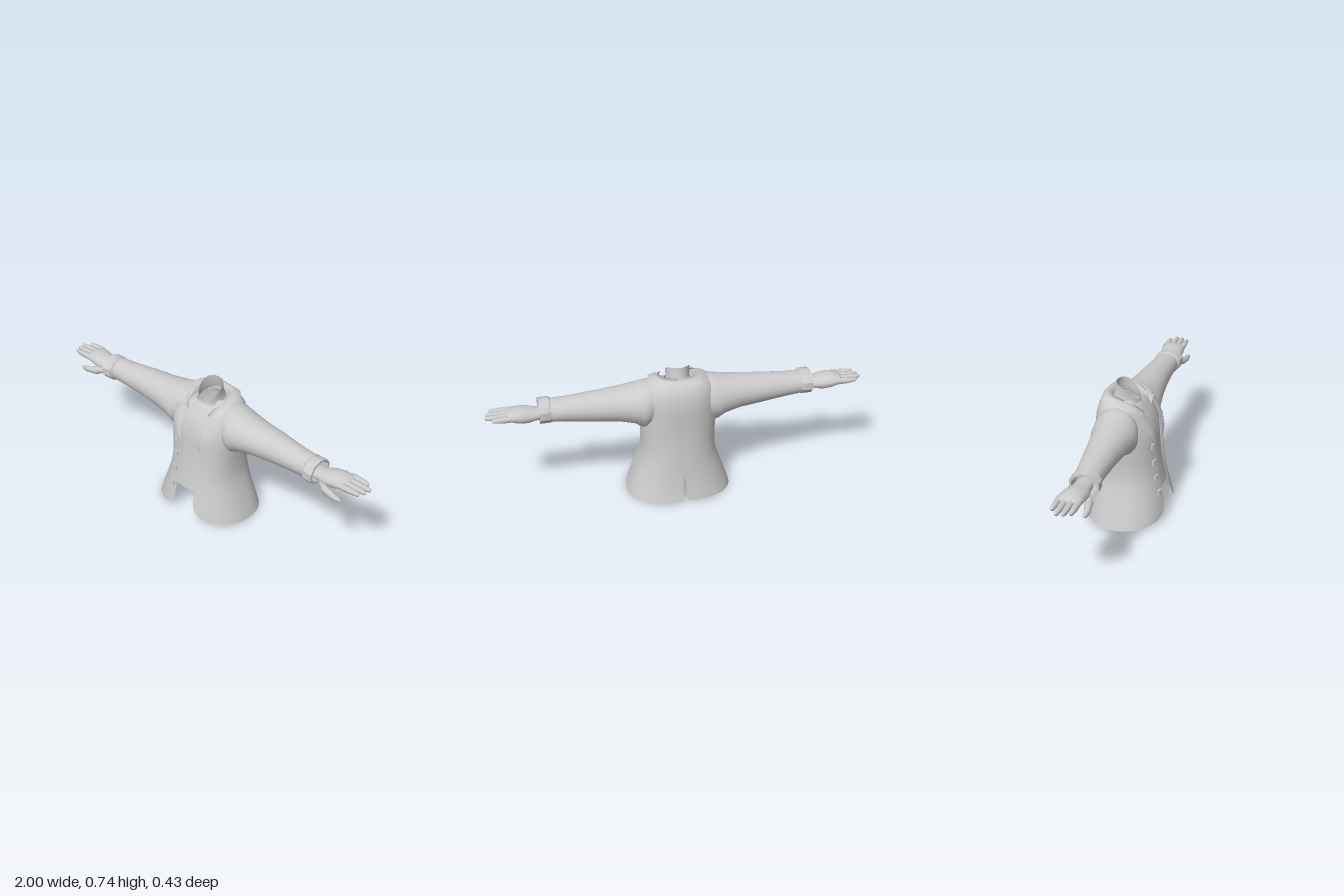
import * as THREE from 'three';
import { toCreasedNormals } from 'three/addons/utils/BufferGeometryUtils.js';

const mat = new THREE.MeshStandardMaterial({ color: 0xcccccc, side: THREE.DoubleSide });
const V = (x, y, z) => new THREE.Vector3(x, y, z);
const lerp = THREE.MathUtils.lerp;
const POW = 0.85; // squareness of the torso outline

// Skin a list of equally long point rows; closed wraps the columns.
function skin(rows, closed = false) {
  const n = rows[0].length, index = [];
  for (let r = 0; r < rows.length - 1; r++) {
    for (let c = 0; c < (closed ? n : n - 1); c++) {
      const a = r * n + c, b = r * n + (c + 1) % n;
      index.push(a, b, a + n, b, b + n, a + n);
    }
  }
  const g = new THREE.BufferGeometry().setFromPoints(rows.flat());
  g.setIndex(index);
  g.computeVertexNormals();
  // keep the centre line smooth across mirrored halves
  const p = g.attributes.position, nm = g.attributes.normal;
  for (let i = 0; i < p.count; i++) {
    if (Math.abs(p.getX(i)) > 1e-4) continue;
    const v = V(0, nm.getY(i), nm.getZ(i)).normalize();
    nm.setXYZ(i, v.x, v.y, v.z);
  }
  return g;
}

function part(name, geometry, parent) {
  const m = new THREE.Mesh(geometry, mat);
  m.name = name;
  parent.add(m);
  return m;
}

// Oval sections along x: [x, top, bottom, zFront, zBack]
function limb(keys, seg) {
  return skin(keys.map(([x, t, b, f, k]) => Array.from({ length: seg }, (_, i) => {
    const a = (i / seg) * Math.PI * 2;
    return V(x, (t + b) / 2 + Math.cos(a) * (t - b) / 2, (f + k) / 2 + Math.sin(a) * (f - k) / 2);
  })), true);
}

// Torso sections: [y, halfWidth, zFront, zBack, front opening, back vent]
const torso = [
  [0.00, 0.28, 0.220, -0.218, 0.14, 0.018],
  [0.02, 0.274, 0.220, -0.214, 0.105, 0.016],
  [0.05, 0.264, 0.216, -0.208, 0.08, 0.012],
  [0.10, 0.247, 0.209, -0.199, 0.066, 0.007],
  [0.165, 0.225, 0.196, -0.190, 0.062, 0],
  [0.22, 0.207, 0.185, -0.185, 0.06, 0],
  [0.28, 0.196, 0.175, -0.178, 0.06, 0],
  [0.36, 0.197, 0.164, -0.173, 0.06, 0],
  [0.44, 0.202, 0.157, -0.171, 0.06, 0],
  [0.52, 0.203, 0.149, -0.174, 0.066, 0],
  [0.58, 0.200, 0.115, -0.172, 0.072, 0],
  [0.63, 0.187, 0.085, -0.160, 0.078, 0],
  [0.66, 0.158, 0.060, -0.142, 0.08, 0],
  [0.683, 0.105, 0.040, -0.115, 0.08, 0],
];
const midZ = -0.015;

function sectionAt(y) {
  const i = Math.max(1, torso.findIndex(r => r[0] >= y));
  const a = torso[i - 1], b = torso[i], t = (y - a[0]) / (b[0] - a[0]);
  return a.map((v, k) => lerp(v, b[k], t));
}

function coatZ(x, y) {
  const [, hx, zf] = sectionAt(y);
  const s = Math.min(1, Math.pow(x / hx, 1 / POW));
  return midZ + (zf - midZ) * Math.pow(1 - s * s, POW / 2);
}

// Half outline of a torso section, from the front opening to the back
function halfRing([y, hx, zf, zb, xf, xb], n) {
  const a0 = Math.asin(Math.pow(xf / hx, 1 / POW));
  const a1 = Math.PI - Math.asin(Math.pow(xb / hx, 1 / POW));
  return Array.from({ length: n + 1 }, (_, i) => {
    const a = lerp(a0, a1, i / n), c = Math.cos(a);
    const lift = Math.max(0, 1 - y / 0.1) * (c > 0 ? 0.03 * c * c : 0.01 * c * c);
    const x = i === n ? xb : hx * Math.pow(Math.sin(a), POW);
    return V(x, y + lift, midZ + (c > 0 ? zf - midZ : midZ - zb) * Math.sign(c) * Math.pow(Math.abs(c), POW));
  });
}

function buildHalf() {
  const g = new THREE.Group();
  part('coatPanel', skin(torso.map(r => halfRing(r, 22))), g);

  // Shirt: the same body, slightly smaller, closed in front
  const shirt = torso.filter(r => r[0] > 0.16 && r[0] < 0.65)
    .map(([y, hx, zf, zb]) => [y, hx - 0.016, zf - 0.014, zb + 0.014, 0, 0]);
  shirt.push([0.645, 0.075, 0.052, -0.10, 0, 0]);
  part('shirt', skin(shirt.map(r => halfRing(r, 18))), g);

  // Lapel lying on the coat front
  const lapel = [[0.42, 0.062, 0.066], [0.47, 0.061, 0.095], [0.53, 0.066, 0.13], [0.585, 0.071, 0.162],
    [0.6, 0.073, 0.142], [0.62, 0.075, 0.122]];
  part('lapel', skin(lapel.map(([y, x0, x1], r) => [0, 0.33, 0.67, 1].map((t, c) => {
    const x = lerp(x0, x1, t);
    return V(x, y, coatZ(x, y) + (r === 0 || c === 0 ? 0.003 : 0.012));
  }))), g);

  // Folded collar: inner stand, fold line, outer edge
  const fold = [V(0.074, 0.625, 0.093), V(0.089, 0.662, 0.045), V(0.095, 0.686, -0.02), V(0.072, 0.698, -0.08), V(0, 0.7, -0.105)];
  const outer = [V(0.132, 0.618, 0.09), V(0.142, 0.648, 0.058), V(0.148, 0.672, -0.025), V(0.108, 0.672, -0.125), V(0, 0.665, -0.15)];
  const inner = fold.map(p => V(p.x * 0.9, p.y - 0.04, p.z * 0.92));
  const lines = [inner, fold, fold.map((p, i) => p.clone().lerp(outer[i], 0.5).add(V(0, 0.007, 0))), outer]
    .map(l => new THREE.CatmullRomCurve3(l).getPoints(14));
  part('collar', skin(lines), g);

  part('sleeve', limb([
    [0.11, 0.655, 0.47, 0.07, -0.12], [0.16, 0.664, 0.42, 0.09, -0.142], [0.195, 0.655, 0.405, 0.1, -0.145],
    [0.24, 0.643, 0.434, 0.095, -0.136], [0.32, 0.633, 0.452, 0.082, -0.117], [0.45, 0.622, 0.465, 0.068, -0.1],
    [0.58, 0.608, 0.478, 0.062, -0.082], [0.69, 0.602, 0.487, 0.062, -0.072],
  ], 18), g);

  part('cuff', toCreasedNormals(limb([
    [0.655, 0.598, 0.486, 0.06, -0.07], [0.668, 0.611, 0.48, 0.076, -0.078], [0.722, 0.609, 0.479, 0.079, -0.078],
    [0.722, 0.597, 0.491, 0.066, -0.066], [0.68, 0.59, 0.495, 0.06, -0.06],
  ], 10), 0.7), g);

  // Hand, palm down with the thumb forward
  const hand = new THREE.Group();
  hand.name = 'hand';
  g.add(hand);
  part('palm', limb([
    [0.68, 0.567, 0.502, 0.035, -0.05], [0.74, 0.565, 0.505, 0.042, -0.058], [0.78, 0.578, 0.497, 0.05, -0.072],
    [0.83, 0.584, 0.505, 0.048, -0.08], [0.87, 0.575, 0.525, 0.046, -0.08], [0.892, 0.565, 0.537, 0.04, -0.075],
    [0.896, 0.55, 0.55, -0.015, -0.015],
  ], 14), hand);
  part('thumb', limb([
    [0.745, 0.54, 0.5, 0.04, 0.01], [0.79, 0.53, 0.482, 0.073, 0.03], [0.85, 0.515, 0.479, 0.08, 0.047],
    [0.885, 0.507, 0.483, 0.077, 0.053], [0.898, 0.495, 0.495, 0.065, 0.065],
  ], 8), hand);
  [[0.03, 0.978], [-0.002, 0.995], [-0.034, 1], [-0.066, 0.968]].forEach(([z, tip]) => {
    const y = 0.551;
    const keys = [[0.86, 0.017], [0.91, 0.0165], [tip - 0.035, 0.0145], [tip - 0.008, 0.01], [tip, 0]];
    part('finger', limb(keys.map(([x, r]) => [x, y + r, y - r, z + r, z - r]), 8), hand);
  });
  return g;
}

export function createModel() {
  const model = new THREE.Group();
  model.name = 'jacketUpperBody';
  const left = buildHalf(), right = buildHalf();
  left.name = 'leftHalf';
  right.name = 'rightHalf';
  right.scale.x = -1;
  model.add(left, right);

  // Open neck with a slanted rim, high at the back
  const ring = (hx, zf, zb, yFn) => Array.from({ length: 20 }, (_, i) => {
    const a = (i / 20) * Math.PI * 2, t = (1 - Math.cos(a)) / 2;
    return V(hx * Math.sin(a), yFn(t), lerp(zf, zb, t));
  });
  part('neck', skin([
    ring(0.07, 0.06, -0.095, t => 0.62 + 0.05 * t),
    ring(0.06, 0.055, -0.084, t => 0.64 + 0.065 * t),
    ring(0.064, 0.05, -0.077, t => 0.655 + 0.09 * Math.sin(t * Math.PI / 2)),
  ], true), model);

  // Buttons down one front edge
  for (const y of [0.435, 0.34, 0.252, 0.165]) {
    const b = part('button', new THREE.BoxGeometry(0.028, 0.028, 0.01), model);
    b.position.set(-0.092, y, coatZ(0.092, y) + 0.003);
    b.rotation.set(-0.12, -0.25, 0);
  }
  return model;
}
